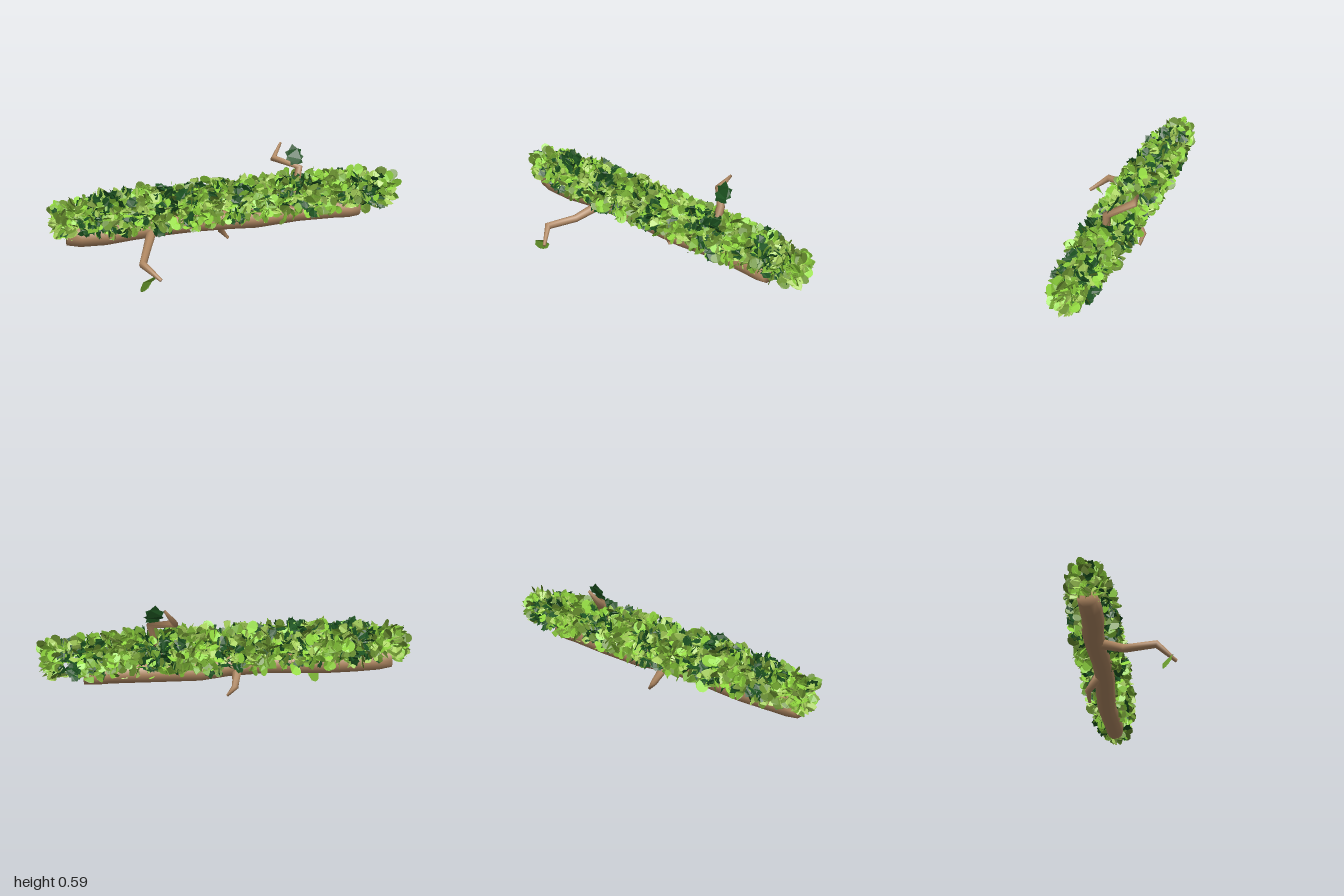
import * as THREE from 'three';
import { mergeGeometries } from 'three/addons/utils/BufferGeometryUtils.js';

const V = (x, y, z) => new THREE.Vector3(x, y, z);

// Small seeded generator
let seed = 7;
const rand = () => {
  seed = (seed * 16807) % 2147483647;
  return seed / 2147483647;
};
const range = (a, b) => a + (b - a) * rand();

// Limb through points [x, y, z, radius], with closed ends
function limb(points, sides) {
  const centres = points.map(p => V(p[0], p[1], p[2]));
  const pos = [], idx = [];
  centres.forEach((c, i) => {
    const before = centres[Math.max(i - 1, 0)], after = centres[Math.min(i + 1, centres.length - 1)];
    const t = after.clone().sub(before).normalize();
    const ref = Math.abs(t.y) > 0.85 ? V(0, 0, 1) : V(0, 1, 0);
    const u = V().crossVectors(ref, t).normalize();
    const w = V().crossVectors(t, u);
    for (let s = 0; s < sides; s++) {
      const a = (s / sides) * Math.PI * 2;
      const p = c.clone().addScaledVector(u, Math.cos(a) * points[i][3]).addScaledVector(w, Math.sin(a) * points[i][3]);
      pos.push(p.x, p.y, p.z);
    }
  });
  for (let i = 0; i < points.length - 1; i++) {
    for (let s = 0; s < sides; s++) {
      const a = i * sides + s, b = i * sides + (s + 1) % sides;
      idx.push(a, b, b + sides, a, b + sides, a + sides);
    }
  }
  const last = (points.length - 1) * sides;
  for (let s = 1; s < sides - 1; s++) {
    idx.push(0, s + 1, s, last, last + s, last + s + 1);
  }
  const g = new THREE.BufferGeometry();
  g.setAttribute('position', new THREE.Float32BufferAttribute(pos, 3));
  g.setIndex(idx);
  g.computeVertexNormals();
  return g;
}

// Leaf outline from half widths [width, height], unit length along y, gently cupped
function leafShape(half) {
  const right = half.map(([x, y]) => new THREE.Vector2(x, y));
  const left = half.slice(1, -1).reverse().map(([x, y]) => new THREE.Vector2(-x, y));
  const g = new THREE.ShapeGeometry(new THREE.Shape([...right, ...left]));
  const p = g.attributes.position;
  for (let i = 0; i < p.count; i++) p.setZ(i, 0.06 * Math.sin(p.getY(i) * 9) - 0.1 * Math.abs(p.getX(i)));
  return g;
}

const ovalLeaf = leafShape([[0, 0], [0.24, 0.12], [0.4, 0.45], [0.36, 0.78], [0.16, 0.96], [0, 1]]);
const pointedLeaf = leafShape([[0, 0], [0.3, 0.18], [0.4, 0.45], [0.24, 0.75], [0, 1]]);
const jaggedLeaf = leafShape([[0, 0], [0.34, 0.04], [0.3, 0.2], [0.48, 0.34], [0.36, 0.48], [0.44, 0.7], [0.24, 0.74], [0, 1]]);

// Place a leaf by its base, growing direction, rough facing direction and size
function placeLeaf(shape, base, dir, facing, length, width = length) {
  const y = dir.clone().normalize();
  const x = V().crossVectors(y, facing).normalize();
  const z = V().crossVectors(x, y).multiplyScalar(length);
  const m = new THREE.Matrix4().makeBasis(x.multiplyScalar(width), y.multiplyScalar(length), z);
  return shape.clone().applyMatrix4(m.setPosition(base));
}

export function createModel() {
  seed = 7;
  const group = new THREE.Group();
  const bark = new THREE.MeshStandardMaterial({ color: 0xb08862 });
  const add = (name, geometry, material) => {
    const mesh = new THREE.Mesh(geometry, material);
    mesh.name = name;
    group.add(mesh);
  };

  // Crooked main branch
  add('mainBranch', limb([
    [-0.9, 0.222, -0.12, 0.05], [-0.83, 0.214, -0.112, 0.056], [-0.7, 0.21, -0.11, 0.056],
    [-0.55, 0.214, -0.125, 0.055], [-0.4, 0.22, -0.125, 0.054], [-0.2, 0.226, -0.112, 0.053],
    [0, 0.22, -0.11, 0.053], [0.15, 0.207, -0.12, 0.053], [0.4, 0.216, -0.13, 0.053],
    [0.62, 0.218, -0.115, 0.054], [0.7, 0.212, -0.11, 0.052], [0.76, 0.212, -0.11, 0.046],
  ], 10), bark);

  // Side twigs
  add('frontTwig', limb([
    [-0.44, 0.21, -0.11, 0.028], [-0.51, 0.143, 0.03, 0.022],
    [-0.57, 0.133, 0.19, 0.021], [-0.5, 0.072, 0.284, 0.009],
  ], 8), bark);
  add('lowerTwig', limb([
    [-0.05, 0.22, -0.13, 0.028], [-0.025, 0.13, -0.198, 0.018], [0.015, 0.083, -0.19, 0.008],
  ], 8), bark);
  add('upperTwig', limb([
    [0.36, 0.23, -0.12, 0.028], [0.41, 0.472, -0.138, 0.022],
    [0.3, 0.503, -0.25, 0.021], [0.355, 0.58, -0.283, 0.007],
  ], 8), bark);

  // Leaf kinds: colour and outline
  const kinds = [
    ['limeLeaves', 0x95dd40, ovalLeaf], ['paleLeaves', 0xa9d35c, pointedLeaf],
    ['midLeaves', 0x7cb436, pointedLeaf], ['oliveLeaves', 0x6a9030, ovalLeaf],
    ['darkLeaves', 0x1c5220, jaggedLeaf],
  ].map(([name, color, shape]) => ({
    name, shape, list: [],
    material: new THREE.MeshStandardMaterial({ color, flatShading: true, side: THREE.DoubleSide }),
  }));

  // Ragged foliage sleeve on top of the branch, narrowing towards its ends
  const count = 2900;
  for (let i = 0; i < count; i++) {
    const x = -0.94 + 1.88 * (i + rand()) / count;
    const far = Math.abs(x);
    const taper = 1 - 0.45 * Math.pow(far, 5);
    const a = range(0, Math.PI * 2);
    const r = 0.112 * taper * Math.sqrt(range(0.02, 1));
    const out = V(0, Math.sin(a), Math.cos(a));
    const base = V(x, 0.318 - 0.018 * Math.pow(far, 3) + out.y * r, -0.12 + out.z * r);
    if (base.y < 0.21) continue;
    const end = far > 0.85 ? Math.sign(x) * 0.8 : 0;
    const dir = out.clone().multiplyScalar(0.55).add(V(range(-0.8, 0.8) + end, range(-0.7, 0.7), range(-0.7, 0.7)));
    const facing = out.clone().multiplyScalar(0.5).add(V(range(-0.8, 0.8), range(-0.8, 0.8), range(-0.8, 0.8)));
    const length = range(0.05, 0.08);
    const tip = base.clone().addScaledVector(dir.normalize(), length);
    const spread = Math.hypot(tip.y - 0.315, tip.z + 0.12);
    const lowest = Math.abs(tip.z + 0.12) > 0.06 ? 0.172 : 0.2;
    if (tip.y < lowest || Math.abs(tip.x) > 0.995 || spread > range(0.145, 0.165) * taper) continue;
    // Darker patches along the length
    const dark = 0.2 + 0.17 * Math.sin(x * 17 + 1.2);
    const kind = kinds[rand() < dark ? 4 : Math.floor(rand() * 4)];
    kind.list.push(placeLeaf(kind.shape, base, dir, facing, length));
  }
  kinds.forEach(k => add(k.name, mergeGeometries(k.list), k.material));

  // Single leaves on the twigs
  add('frontTwigLeaf', placeLeaf(ovalLeaf, V(-0.53, 0.088, 0.262), V(-0.06, -0.085, -0.03), V(0.067, -0.08, 0.115), 0.11, 0.1), kinds[2].material);
  add('upperTwigLeaf', placeLeaf(jaggedLeaf, V(0.4, 0.485, -0.145), V(-0.01, 0.105, -0.055), V(0, 0.5, 1), 0.118, 0.11), kinds[4].material);

  return group;
}
